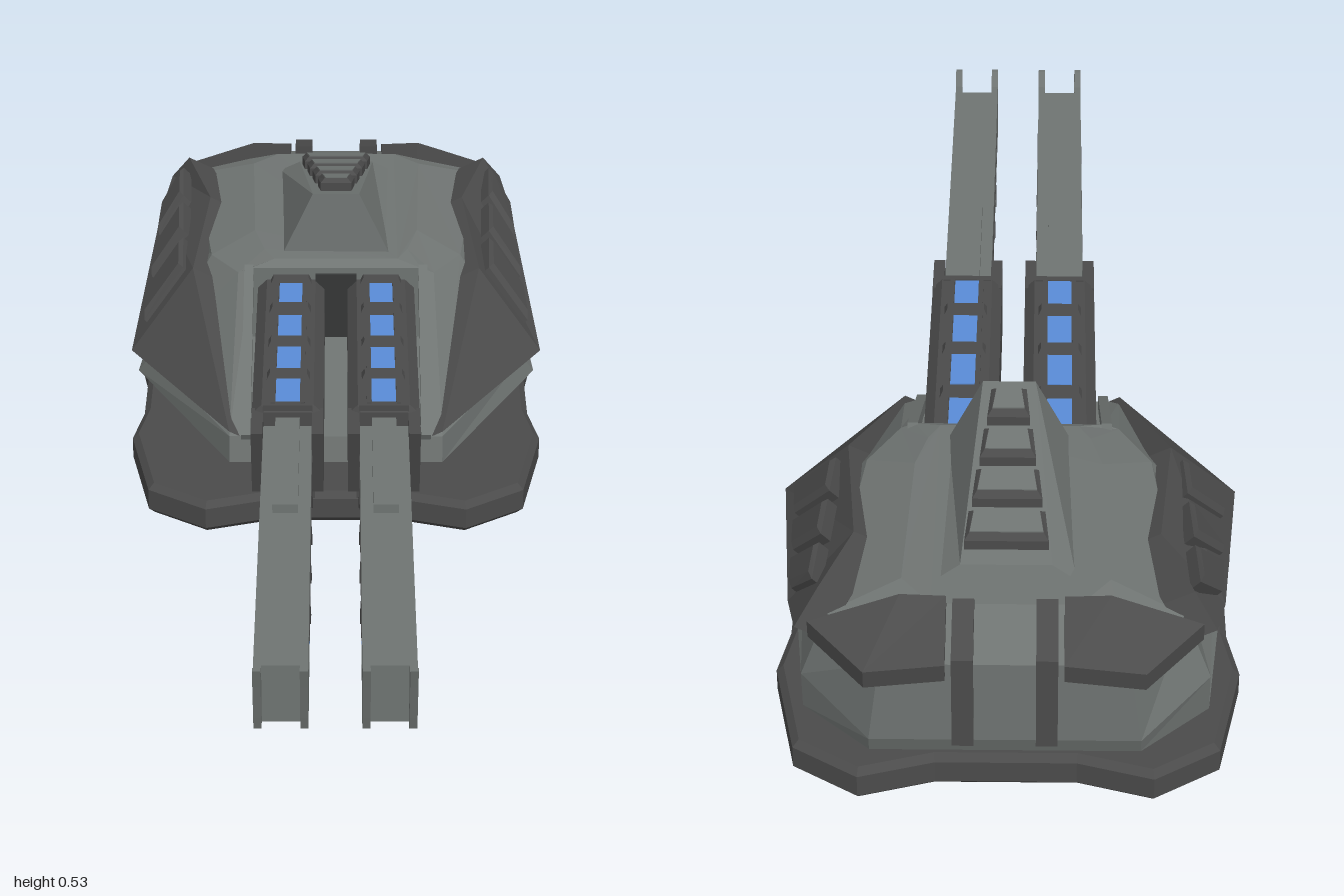
import * as THREE from 'three';

const mat = (name, color) => new THREE.MeshStandardMaterial({ name, color, flatShading: true, side: THREE.DoubleSide });

// Flat-faced geometry from polygons; s = -1 mirrors across x = 0
function polyGeometry(faces, s = 1) {
  const pos = [];
  for (const f of faces) {
    const p = f.map(([x, y, z]) => [x * s, y, z]);
    if (s < 0) p.reverse();
    for (let i = 1; i < p.length - 1; i++) pos.push(...p[0], ...p[i], ...p[i + 1]);
  }
  const g = new THREE.BufferGeometry();
  g.setAttribute('position', new THREE.Float32BufferAttribute(pos, 3));
  g.computeVertexNormals();
  return g;
}

// Faces joining closed rings, with capped ends; skip(ring, index) leaves a gap
function loft(rings, skip = () => false) {
  const faces = [[...rings[0]].reverse(), rings[rings.length - 1]];
  for (let r = 0; r < rings.length - 1; r++) {
    const a = rings[r], b = rings[r + 1], n = a.length;
    for (let i = 0; i < n; i++) {
      const j = (i + 1) % n;
      if (!skip(r, i)) faces.push([a[i], a[j], b[j], b[i]]);
    }
  }
  return faces;
}

// Slab: an outer surface (index lists into loop) thickened by an offset
function slab(loop, off, tops = [loop.map((_, i) => i)]) {
  const low = loop.map(p => p.map((v, k) => v + off[k]));
  const faces = [];
  for (const t of tops) faces.push(t.map(i => loop[i]), t.map(i => low[i]).reverse());
  loop.forEach((p, i) => {
    const j = (i + 1) % loop.length;
    faces.push([low[i], low[j], loop[j], p]);
  });
  return faces;
}

// Rectangle with cut corners in x, y
function octagon(hw, y0, y1, c, z) {
  return [[-hw + c, y0], [hw - c, y0], [hw, y0 + c], [hw, y1 - c], [hw - c, y1], [-hw + c, y1], [-hw, y1 - c], [-hw, y0 + c]]
    .map(([x, y]) => [x, y, z]);
}

export function createModel() {
  const root = new THREE.Group();
  root.name = 'twinGunTurret';
  const light = mat('hullGrey', 0x6f7472);
  const dark = mat('armourGrey', 0x4b4b4b);
  const black = mat('shadowGrey', 0x353737);
  const blue = mat('energyBlue', 0x5a8cd8);

  const add = (parent, name, geo, material) => {
    const m = new THREE.Mesh(geo, material);
    m.name = name;
    parent.add(m);
    return m;
  };
  const box = (parent, name, material, w, h, d, x, y, z) =>
    add(parent, name, new THREE.BoxGeometry(w, h, d), material).position.set(x, y, z);
  const pair = (name, faces, material) => {
    for (const s of [1, -1]) add(root, name, polyGeometry(faces, s), material);
  };

  // Base plate with four corner feet
  const quarter = [[0.12, 0.405], [0.245, 0.443], [0.348, 0.375], [0.388, 0.18], [0.37, 0.08]];
  const back = quarter.map(([x, z]) => [x, -z]).reverse();
  const rightSide = [...quarter, ...back];
  const outline = [...rightSide, ...rightSide.map(([x, z]) => [-x, z]).reverse()];
  const plateShape = new THREE.Shape(outline.map(([x, z]) => new THREE.Vector2(x, -z)));
  const plate = new THREE.ExtrudeGeometry(plateShape, { depth: 0.041, bevelEnabled: true, bevelSize: 0.012, bevelThickness: 0.012, bevelSegments: 1 });
  plate.rotateX(-Math.PI / 2).translate(0, 0.012, -0.455);
  add(root, 'basePlate', plate, dark);

  // Turning ring
  add(root, 'neck', new THREE.CylinderGeometry(0.277, 0.277, 0.07, 16), dark).position.set(0, 0.09, -0.455);

  // Hull: rings from the floor up, each given front to back on one side
  const ring = half => [...half, ...half.map(([x, y, z]) => [-x, y, z]).reverse()];
  const hullRings = [
    [[0.16, 0.113, -0.09], [0.2, 0.113, -0.09], [0.345, 0.113, -0.35], [0.3, 0.113, -0.72], [0.18, 0.113, -0.76]],
    [[0.165, 0.15, -0.01], [0.2, 0.15, -0.01], [0.39, 0.16, -0.36], [0.335, 0.165, -0.86], [0.22, 0.17, -0.975]],
    [[0.165, 0.2, -0.02], [0.2, 0.2, -0.02], [0.365, 0.2, -0.34], [0.335, 0.24, -0.87], [0.22, 0.2, -0.985]],
    [[0.165, 0.385, -0.36], [0.19, 0.375, -0.36], [0.245, 0.37, -0.45], [0.29, 0.36, -0.86], [0.2, 0.355, -0.985]],
    [[0.12, 0.395, -0.38], [0.14, 0.397, -0.42], [0.16, 0.4, -0.5], [0.17, 0.4, -0.82], [0.12, 0.395, -0.88]]
  ].map(ring);
  add(root, 'hull', polyGeometry(loft(hullRings, (r, i) => r === 2 && i === 9)), light);

  // Gun opening in the hull front
  pair('openingSide', [[[0.165, 0.2, -0.02], [0.165, 0.385, -0.36], [0.165, 0.2, -0.36]]], light);
  add(root, 'openingFloor', polyGeometry([[[-0.165, 0.2, -0.02], [0.165, 0.2, -0.02], [0.165, 0.235, -0.36], [-0.165, 0.235, -0.36]]]), light);
  add(root, 'openingBack', polyGeometry([[[-0.165, 0.2, -0.36], [0.165, 0.2, -0.36], [0.165, 0.385, -0.36], [-0.165, 0.385, -0.36]]]), light);
  box(root, 'openingShadow', black, 0.08, 0.135, 0.008, 0, 0.305, -0.357);
  pair('openingRail', slab([[0.16, 0.207, -0.012], [0.178, 0.207, -0.012], [0.178, 0.39, -0.365], [0.16, 0.39, -0.365]], [0, -0.02, -0.01]), light);

  // Side armour with three raised panels
  const a = [0.2, 0.21, -0.02], b = [0.4, 0.22, -0.33], c = [0.36, 0.32, -0.78], c2 = [0.342, 0.345, -0.88],
    d = [0.305, 0.4, -0.85], e = [0.255, 0.388, -0.68], f = [0.28, 0.365, -0.4];
  pair('sideArmour', slab([a, b, c, c2, d, e, f], [-0.05, -0.025, 0], [[0, 1, 6], [1, 2, 5, 6], [2, 3, 4, 5]]), dark);
  const mix = (p, q, t) => p.map((v, k) => v + (q[k] - v) * t);
  const onArmour = (u, v, lift) => mix(mix(b, c, u), mix(f, d, u), v).map((w, k) => w + lift * [0.7, 0.7, 0][k]);
  for (let i = 0; i < 3; i++) {
    const u0 = 0.07 + i * 0.31, u1 = u0 + 0.25;
    const quad = (m, lift) => [[u0 + m, 0.22 + m], [u1 - m, 0.22 + m], [u1 - m, 0.88 - m], [u0 + m, 0.88 - m]].map(([u, v]) => onArmour(u, v, lift));
    pair('sidePanel', loft([quad(0, -0.015), quad(0, 0.007), quad(0.035, 0.015)]), dark);
  }

  // Rear corner armour and rear straps
  pair('rearArmour', slab([[0.095, 0.415, -0.885], [0.17, 0.418, -0.885], [0.32, 0.365, -0.89], [0.225, 0.35, -1], [0.095, 0.365, -1]], [0, -0.035, 0.005],
    [[0, 1, 3, 4], [1, 2, 3]]), dark);
  pair('rearStrap', slab([[0.05, 0.2, -1], [0.05, 0.375, -1], [0.085, 0.375, -1], [0.085, 0.2, -1]], [0, 0, 0.025]), dark);
  pair('rearStrapTop', slab([[0.05, 0.41, -0.885], [0.085, 0.41, -0.885], [0.085, 0.375, -1], [0.05, 0.375, -1]], [0, -0.03, 0]), dark);

  // Roof tower sloping down to the rear, with light-topped steps
  add(root, 'roofTower', polyGeometry(loft([
    [[-0.105, 0.39, -0.41], [0.105, 0.39, -0.41], [0.115, 0.39, -0.81], [-0.115, 0.39, -0.81]],
    [[-0.045, 0.515, -0.42], [0.045, 0.515, -0.42], [0.075, 0.413, -0.8], [-0.075, 0.413, -0.8]]
  ])), light);
  for (let i = 0; i < 4; i++) {
    const z = -0.485 - i * 0.085, hw = 0.03 + i * 0.011, y = 0.518 + (z + 0.42) * 0.268;
    const step = (m, lift) => [[-hw + m, 1], [hw - m, 1], [hw + 0.006 - m, -1], [-hw - 0.006 + m, -1]]
      .map(([x, k]) => [x, y + lift + k * (0.03 - m) * 0.268, z + k * (0.03 - m)]);
    add(root, 'towerStep', polyGeometry(loft([step(0, -0.008), step(0, 0.014), step(0.008, 0.023)])), dark);
    add(root, 'towerStepTop', polyGeometry(loft([step(0.009, 0.022), step(0.009, 0.025)])), light);
  }

  // Twin guns
  for (const side of [1, -1]) {
    const gun = new THREE.Group();
    gun.name = side > 0 ? 'leftGun' : 'rightGun';
    gun.position.x = side * 0.087;
    root.add(gun);

    // Housing, open on top at its front end
    add(gun, 'gunHousing', polyGeometry(loft([
      octagon(0.065, 0.19, 0.36, 0.018, -0.4),
      octagon(0.065, 0.19, 0.36, 0.018, 0.15),
      octagon(0.056, 0.2, 0.35, 0.014, 0.16)
    ])), dark);
    for (const s of [1, -1])
      add(gun, 'housingCheek', polyGeometry(slab([[0.065, 0.205, 0.195], [0.065, 0.205, 0.14], [0.065, 0.348, 0.14], [0.065, 0.348, 0.237]], [-0.021, 0, 0]), s), dark);
    box(gun, 'housingLip', dark, 0.098, 0.016, 0.06, 0, 0.2, 0.165);
    for (const z of [-0.295, -0.155, -0.025, 0.095]) box(gun, 'topWindow', blue, 0.044, 0.008, 0.095, 0, 0.358, z);
    box(gun, 'topLip', dark, 0.09, 0.022, 0.014, 0, 0.352, 0.151);
    for (const z of [-0.355, -0.23, -0.09, 0.04])
      add(gun, 'topRib', polyGeometry(loft([
        [[-0.042, 0.355, z + 0.017], [0.042, 0.355, z + 0.017], [0.042, 0.355, z - 0.017], [-0.042, 0.355, z - 0.017]],
        [[-0.034, 0.371, z + 0.01], [0.034, 0.371, z + 0.01], [0.034, 0.371, z - 0.01], [-0.034, 0.371, z - 0.01]]
      ])), dark);
    for (const s of [1, -1]) box(gun, 'windowRail', dark, 0.008, 0.01, 0.52, s * 0.027, 0.36, -0.11);

    // Barrel core between two flanges, top rail and forked muzzle
    add(gun, 'barrel', polyGeometry(loft([0.14, 0.945].map(z => octagon(0.036, 0.218, 0.318, 0.006, z)))), light);
    box(gun, 'topFlange', light, 0.088, 0.028, 0.805, 0, 0.308, 0.5425);
    box(gun, 'bottomFlange', light, 0.088, 0.022, 0.805, 0, 0.226, 0.5425);
    box(gun, 'barrelRail', light, 0.044, 0.03, 0.31, 0, 0.324, 0.315);
    for (const s of [1, -1]) {
      add(gun, 'muzzleFork', polyGeometry(slab([[0.044, 0.215, 0.965], [0.044, 0.215, 0.84], [0.044, 0.322, 0.84], [0.044, 0.322, 0.97], [0.044, 0.347, 0.99], [0.044, 0.347, 1], [0.044, 0.31, 0.99], [0.044, 0.24, 0.972]],
        [-0.013, 0, 0]), s), light);
      // Slanted side windows and ribs set into the barrel
      for (let i = 0; i < 5; i++) {
        const z = 0.785 - i * 0.128;
        const strip = (x0, x1, z0, z1, y0, y1, lean) => slab([[x0, y0, z0 - lean], [x0, y0, z1 - lean], [x1, y1, z1], [x1, y1, z0]], [-0.008, 0, 0]);
        add(gun, 'sideWindow', polyGeometry(strip(0.044, 0.038, z, z - 0.078, 0.242, 0.285, 0.025), s), blue);
        add(gun, 'sideRib', polyGeometry(strip(0.046, 0.044, z - 0.074, z - 0.104, 0.225, 0.295, 0.04), s), dark);
      }
      box(gun, 'sideRail', dark, 0.008, 0.008, 0.62, s * 0.041, 0.291, 0.51);
    }
  }
  return root;
}
